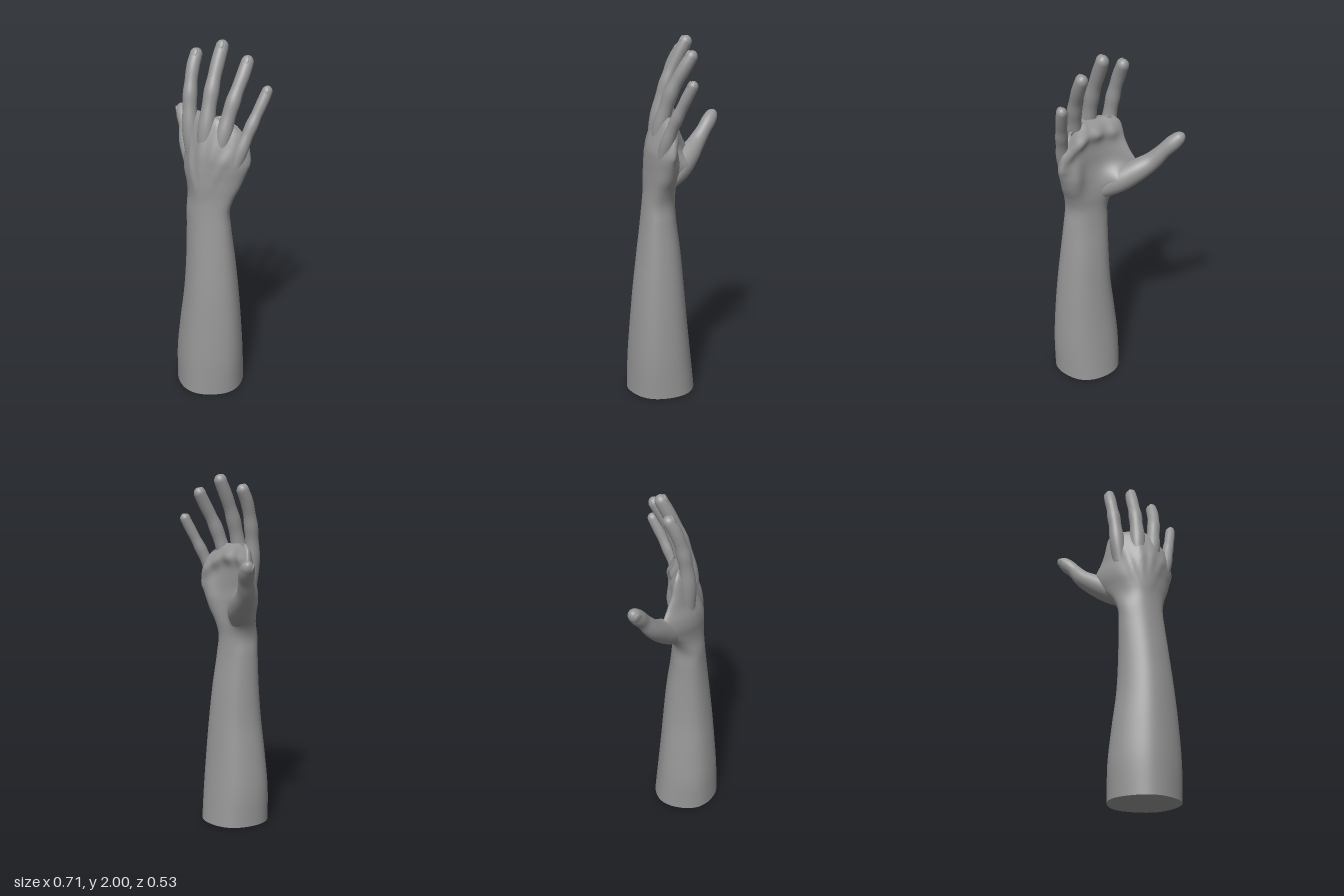
import * as THREE from 'three';

const skin = new THREE.MeshStandardMaterial({ color: 0x969696 });

// Smooth interpolation through rows of [parameter, ...values]
function spline(rows) {
  const size = rows[0].length - 1;
  const it = new THREE.CubicInterpolant(rows.map(r => r[0]), rows.flatMap(r => r.slice(1)), size, new Float32Array(size));
  return t => Array.from(it.evaluate(t));
}

const centroid = ring => ring.reduce((s, p) => s.add(p), new THREE.Vector3()).divideScalar(ring.length);

// Skin through closed rings, with a sharp start cap and a smooth end
function loft(rings) {
  const n = rings[0].length, last = rings.length - 1, idx = [];
  const pts = rings.flat();
  for (let i = 0; i < last; i++) {
    for (let j = 0; j < n; j++) {
      const a = i * n + j, b = i * n + (j + 1) % n;
      idx.push(a, b, a + n, b, b + n, a + n);
    }
  }
  const end = pts.push(centroid(rings[last])) - 1;
  const base = pts.length;
  pts.push(...rings[0], centroid(rings[0]));
  for (let j = 0; j < n; j++) {
    const k = (j + 1) % n;
    idx.push(last * n + j, last * n + k, end, base + k, base + j, base + n);
  }
  const g = new THREE.BufferGeometry().setFromPoints(pts);
  g.setIndex(idx);
  g.computeVertexNormals();
  return g;
}

function add(group, name, geometry) {
  const mesh = new THREE.Mesh(geometry, skin);
  mesh.name = name;
  group.add(mesh);
  return mesh;
}

// y, xMin, xMax, zBack, zFront, crosswise arch, slant of the knuckle line, pull of the thumb side
const armAt = spline([
  [0, -0.105, 0.285, -0.125, 0.265, 0, 0, 0],
  [0.2, -0.105, 0.287, -0.105, 0.258, 0, 0, 0],
  [0.4, -0.085, 0.277, -0.085, 0.243, 0, 0, 0],
  [0.6, -0.06, 0.26, -0.067, 0.225, 0, 0, 0],
  [0.8, -0.05, 0.238, -0.048, 0.203, 0, 0, 0],
  [1.0, -0.05, 0.214, -0.022, 0.18, 0, 0, 0],
  [1.1, -0.053, 0.205, -0.015, 0.17, 0, 0, 0],
  [1.18, -0.075, 0.222, -0.018, 0.163, 0.015, 0, 0.025],
  [1.24, -0.112, 0.246, -0.015, 0.16, 0.035, 0, 0.055],
  [1.3, -0.148, 0.265, -0.01, 0.156, 0.05, 0, 0.08],
  [1.36, -0.155, 0.28, -0.005, 0.152, 0.06, 0.1, 0.08],
  [1.43, -0.128, 0.289, -0.005, 0.144, 0.068, 0.3, 0.04],
  [1.5, -0.11, 0.285, -0.003, 0.125, 0.065, 0.45, 0.008],
  [1.56, -0.1, 0.272, 0.0, 0.102, 0.055, 0.5, 0],
  [1.6, -0.085, 0.25, 0.01, 0.083, 0.045, 0.5, 0],
  [1.625, -0.055, 0.215, 0.028, 0.064, 0.035, 0.5, 0],
]);

const knuckles = [-0.045, 0.063, 0.155, 0.235];

// Mounds of the palm: x, y, width, height, swell (thumb, outer edge, finger roots)
const mounds = [
  [-0.045, 1.27, 0.065, 0.075, 0.085],
  [0.2, 1.33, 0.05, 0.11, 0.03],
  [-0.035, 1.545, 0.04, 0.04, 0.022],
  [0.06, 1.55, 0.045, 0.04, 0.028],
  [0.155, 1.54, 0.045, 0.04, 0.026],
  [0.235, 1.53, 0.04, 0.045, 0.02],
];

const gauss = (x, width) => Math.exp(-((x / width) ** 2));

function armRing(y) {
  const [x0, x1, z0, z1, arch, slant, pull] = armAt(y);
  const hand = THREE.MathUtils.smoothstep(y, 1.15, 1.35);
  const power = 1 - 0.1 * hand;
  const square = v => Math.sign(v) * Math.abs(v) ** power;
  const ring = [];
  for (let j = 0; j < 96; j++) {
    const a = j / 96 * Math.PI * 2, s = Math.sin(a), c = Math.cos(a);
    const lump = 1 + 0.014 * Math.cos(5 * a) * (1 - hand);
    const x = (x0 + x1) / 2 + (x1 - x0) / 2 * square(s) * lump;
    let z = (z0 + z1) / 2 + (z1 - z0) / 2 * square(c) * lump - arch * s * s;
    if (s < 0) z -= pull * s * s;
    if (c > 0) {
      // Tendons fan out over the back of the hand
      const f = THREE.MathUtils.clamp((y - 1.1) / 0.42, 0, 1);
      for (const k of knuckles) z += 0.008 * hand * c * gauss(x - THREE.MathUtils.lerp(0.08, k, f), 0.022);
    } else {
      for (const [mx, my, w, h, swell] of mounds) z += swell * square(c) * gauss(x - mx, w) * gauss(y - my, h);
    }
    ring.push(new THREE.Vector3(x, y - slant * Math.max(0, x - 0.12), z));
  }
  return ring;
}

// Tapered digit along a path, with a rounded tip and a nail on its back side
function digit(name, path, radii, scale, backHint) {
  const group = new THREE.Group();
  group.name = name;
  const curve = new THREE.CatmullRomCurve3(path.map(p => new THREE.Vector3(...p)));
  const radiusAt = spline(radii);
  const round = 1.05 * radiusAt(0.95)[0] * scale / curve.getLength();
  const frame = t => {
    const T = curve.getTangentAt(t);
    const U = new THREE.Vector3(...backHint);
    U.addScaledVector(T, -U.dot(T)).normalize();
    return { P: curve.getPointAt(t), T, U, S: new THREE.Vector3().crossVectors(U, T) };
  };
  const ts = [];
  for (let i = 0; i < 40; i++) ts.push(i / 40 * (1 - round));
  for (let i = 0; i < 9; i++) ts.push(1 - round + round * Math.sin(i / 9 * Math.PI / 2));
  ts.push(0.9995);
  const rings = ts.map(t => {
    const { P, S, U } = frame(t);
    const q = Math.max(0, (t - 1 + round) / round);
    const r = radiusAt(t)[0] * scale * Math.sqrt(1 - q * q);
    return Array.from({ length: 28 }, (_, j) => {
      const a = j / 28 * Math.PI * 2;
      return P.clone().addScaledVector(S, r * Math.cos(a)).addScaledVector(U, r * Math.sin(a));
    });
  });
  add(group, name + 'Flesh', loft(rings));

  const at = 1 - round * 1.1, { P, T, U, S } = frame(at), r = radiusAt(at)[0] * scale;
  const nail = add(group, name + 'Nail', new THREE.SphereGeometry(1, 20, 12));
  nail.scale.set(r * 0.66, r * 0.85, r * 0.25);
  nail.quaternion.setFromRotationMatrix(new THREE.Matrix4().makeBasis(S.negate(), T, U));
  nail.position.copy(P).addScaledVector(U, r * 0.79);
  return group;
}

export function createModel() {
  const model = new THREE.Group();
  model.name = 'forearmAndHand';

  // Forearm, wrist and palm in one skin
  const rings = [];
  for (let i = 0; i <= 130; i++) rings.push(armRing(i * 0.0125));
  add(model, 'forearmAndPalm', loft(rings));

  // Fingers, swelling a little at the joints
  const fingerRadii = [[0, 0.044], [0.28, 0.046], [0.45, 0.039], [0.57, 0.041], [0.68, 0.036], [0.79, 0.037], [0.9, 0.036], [1, 0.032]];
  const fingers = [
    ['indexFinger', 0.96, [[-0.035, 1.4, 0.062], [-0.052, 1.52, 0.062], [-0.062, 1.63, 0.053], [-0.072, 1.75, 0.03], [-0.08, 1.86, -0.008], [-0.081, 1.945, -0.056]]],
    ['middleFinger', 1, [[0.062, 1.4, 0.09], [0.063, 1.52, 0.085], [0.064, 1.63, 0.066], [0.064, 1.77, 0.026], [0.062, 1.89, -0.028], [0.063, 2.0, -0.086]]],
    ['ringFinger', 0.97, [[0.14, 1.38, 0.078], [0.157, 1.51, 0.067], [0.17, 1.61, 0.042], [0.187, 1.73, 0], [0.2, 1.84, -0.06], [0.203, 1.93, -0.115]]],
    ['littleFinger', 0.82, [[0.21, 1.32, 0.06], [0.25, 1.46, 0.028], [0.27, 1.54, 0], [0.291, 1.625, -0.037], [0.312, 1.71, -0.077], [0.328, 1.787, -0.115]]],
  ];
  for (const [name, scale, path] of fingers) model.add(digit(name, path, fingerRadii, scale, [0, 0, 1]));

  // Thumb, spreading out to the side and bending back at the tip
  model.add(digit('thumb',
    [[0.02, 1.19, 0.03], [-0.05, 1.25, -0.03], [-0.13, 1.31, -0.085], [-0.21, 1.375, -0.137], [-0.262, 1.455, -0.19], [-0.338, 1.548, -0.248]],
    [[0, 0.05], [0.2, 0.068], [0.4, 0.064], [0.58, 0.051], [0.66, 0.046], [0.75, 0.041], [0.87, 0.042], [1, 0.028]],
    1, [-0.6, -0.3, 0.6]));

  return model;
}
